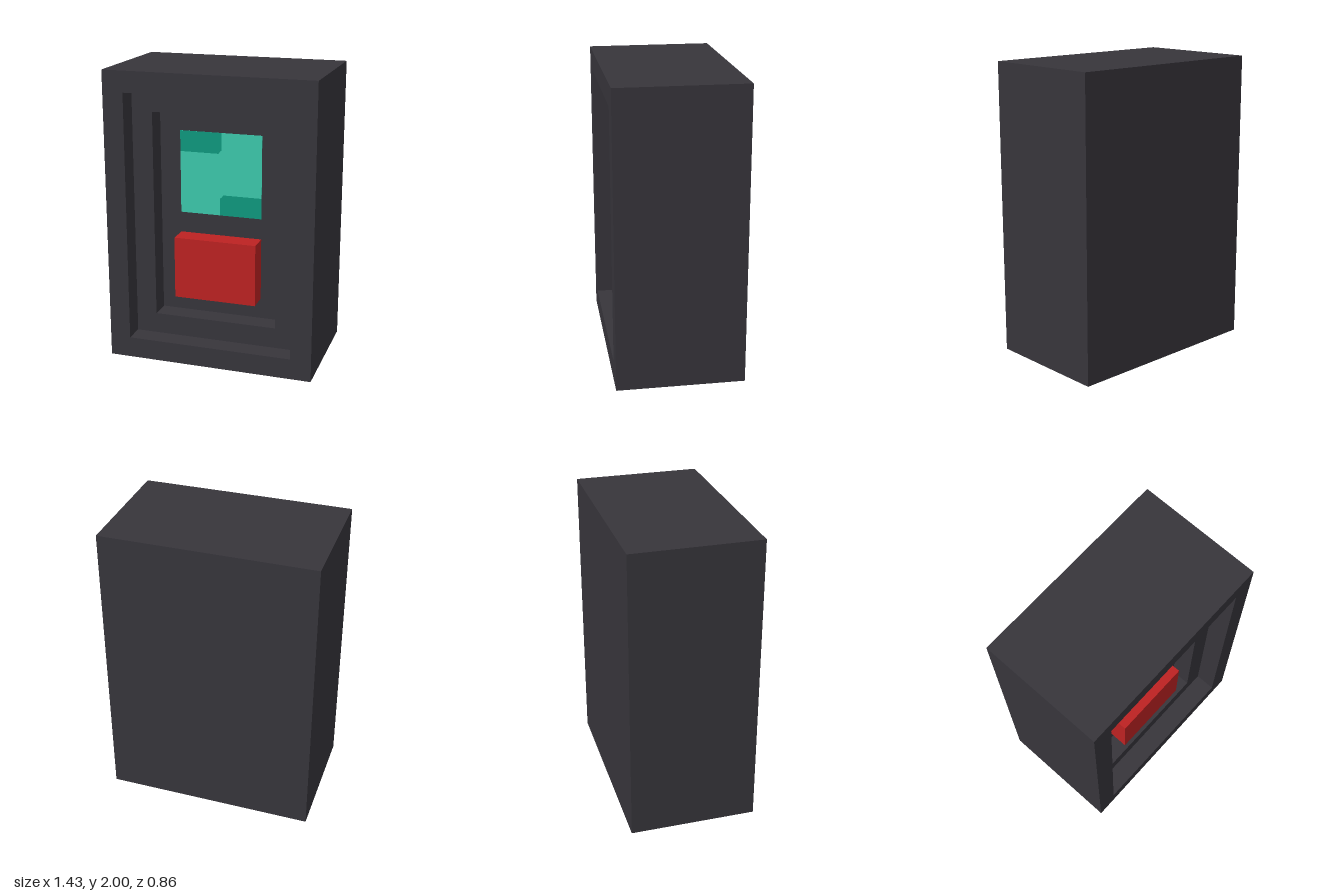
import * as THREE from 'three';

const U = 1 / 7; // one module: the cabinet is 10 x 14 x 6

// Closed skin through concentric rectangles [halfWidth, halfHeight, z], capped at both ends
function steppedBox(loops) {
  const pos = [];
  const corners = ([w, h, z]) => [[-w, -h, z], [w, -h, z], [w, h, z], [-w, h, z]];
  const quad = (a, b, c, d) => pos.push(...a, ...b, ...c, ...a, ...c, ...d);
  const rings = loops.map(corners);
  for (let i = 0; i < rings.length - 1; i++) {
    const a = rings[i], b = rings[i + 1];
    for (let k = 0; k < 4; k++) {
      const n = (k + 1) % 4;
      quad(a[k], a[n], b[n], b[k]);
    }
  }
  const first = rings[0], last = rings[rings.length - 1];
  quad(first[3], first[2], first[1], first[0]);
  quad(...last);
  const geo = new THREE.BufferGeometry();
  geo.setAttribute('position', new THREE.Float32BufferAttribute(pos, 3));
  geo.computeVertexNormals();
  return geo;
}

export function createModel() {
  const group = new THREE.Group();
  const mat = (name, color) => Object.assign(new THREE.MeshStandardMaterial({ color }), { name });
  const charcoal = mat('charcoal', 0x37353b);
  const mint = mat('mint', 0x3cc9ac);
  const teal = mat('teal', 0x0f997f);
  const red = mat('red', 0xbd2222);

  const add = (name, geo, material, x, y, z) => {
    const mesh = new THREE.Mesh(geo, material);
    mesh.name = name;
    mesh.position.set(x, y, z);
    group.add(mesh);
    return mesh;
  };

  // Cabinet with a two-step recess in the front
  add('cabinet', steppedBox([
    [5 * U, 7 * U, -3 * U],
    [5 * U, 7 * U, 3 * U],
    [4 * U, 6 * U, 3 * U],
    [4 * U, 6 * U, 2 * U],
    [3 * U, 5 * U, 2 * U],
    [3 * U, 5 * U, U],
  ]), charcoal, 0, 1, 0);

  // Screen, a thin plate on the recess floor
  const screenY = 9 * U, screenZ = U + 0.001;
  add('screen', new THREE.BoxGeometry(4 * U, 4 * U, 0.002), mint, 0, screenY, screenZ);

  // Dark corner patches, one the half-turn of the other
  const patch = new THREE.Shape([
    [-2 * U, 2 * U], [-2 * U, U], [-0.015, U], [-0.01, U + 0.012], [0.007, U + 0.025], [0.007, 2 * U],
  ].map(([x, y]) => new THREE.Vector2(x, y)));
  const patchGeo = new THREE.ExtrudeGeometry(patch, { depth: 0.002, bevelEnabled: false });
  add('screenPatchTop', patchGeo, teal, 0, screenY, screenZ);
  add('screenPatchBottom', patchGeo, teal, 0, screenY, screenZ).rotation.z = Math.PI;

  // Push button block
  add('button', new THREE.BoxGeometry(4 * U, 3 * U, U), red, 0, 4.5 * U, 1.5 * U);

  return group;
}
